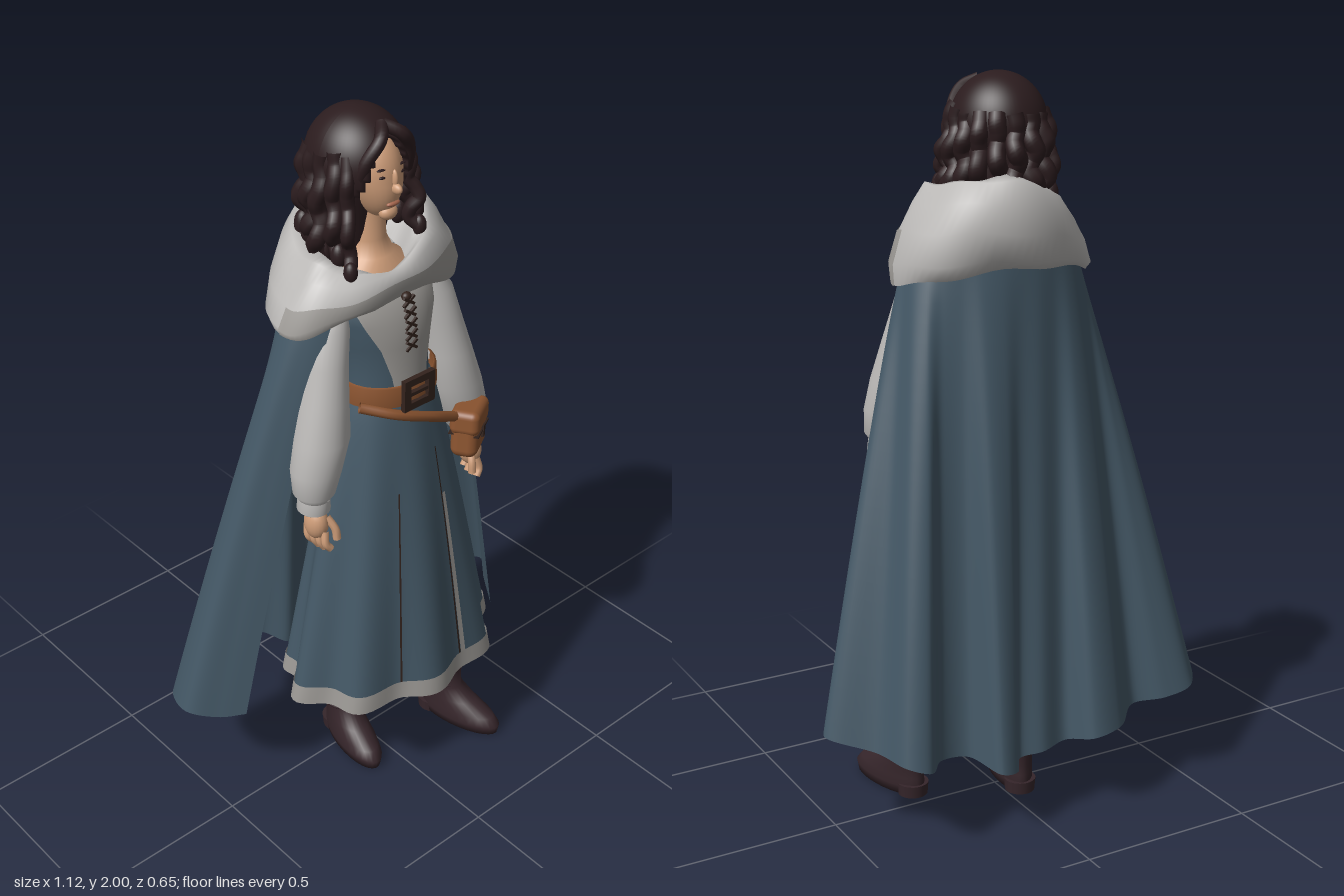
import * as THREE from 'three';
import { RoundedBoxGeometry } from 'three/addons/geometries/RoundedBoxGeometry.js';

const V = (x, y, z) => new THREE.Vector3(x, y, z);
const material = (name, color, side = THREE.FrontSide) => {
  const m = new THREE.MeshStandardMaterial({ color, side });
  m.name = name;
  return m;
};

// Smooth surface through a grid of points: point(i / cols, j / rows)
function surface(cols, rows, closed, point) {
  const pos = [], index = [], n = closed ? cols : cols + 1;
  for (let j = 0; j <= rows; j++)
    for (let i = 0; i < n; i++) pos.push(...point(i / cols, j / rows, j).toArray());
  for (let j = 0; j < rows; j++)
    for (let i = 0; i < cols; i++) {
      const a = j * n + i, b = j * n + (i + 1) % n;
      index.push(a, b, b + n, a, b + n, a + n);
    }
  const g = new THREE.BufferGeometry();
  g.setAttribute('position', new THREE.Float32BufferAttribute(pos, 3));
  g.setIndex(index);
  g.computeVertexNormals();
  return g;
}

// Stack of elliptical rings, bottom to top: [y, cx, cz, rx, rz, halfAngle?]
function rings(rows, cols = 28) {
  const closed = rows[0][5] === undefined;
  return surface(cols, rows.length - 1, closed, (u, v, j) => {
    const [y, cx, cz, rx, rz, half = Math.PI] = rows[j];
    const a = (u * 2 - 1) * half;
    return V(cx + rx * Math.sin(a), y, cz + rz * Math.cos(a));
  });
}

export function createModel() {
  const model = new THREE.Group();
  model.name = 'cloakedTraveller';
  const D = THREE.DoubleSide;
  const hair = material('hair', 0x2b1c1e);
  const skin = material('skin', 0xcd9c78);
  const blue = material('blueCloth', 0x445866, D);
  const cloth = material('paleCloth', 0xb9b7b5, D);
  const lace = material('lace', 0x9c9995, D);
  const leather = material('leather', 0x8b5430, D);
  const darkLeather = material('darkLeather', 0x33231d, D);
  const bootLeather = material('bootLeather', 0x35252a, D);
  const stocking = material('stocking', 0xa87453);
  const lip = material('lip', 0xa8684f);

  const add = (name, geometry, mat, parent = model) => {
    const m = new THREE.Mesh(geometry, mat);
    m.name = name;
    parent.add(m);
    return m;
  };
  const ball = (name, mat, p, s, parent = model) => {
    const m = add(name, new THREE.SphereGeometry(1, 20, 14), mat, parent);
    m.position.set(...p);
    m.scale.set(...s);
    return m;
  };
  const tube = (name, points, r, mat, parent = model) =>
    add(name, new THREE.TubeGeometry(new THREE.CatmullRomCurve3(points), points.length * 5, r, 8), mat, parent);

  // Bodice, front panel and upper chest
  const torso = [[1.27, .015, .075, .122, .1], [1.34, .015, .07, .118, .1], [1.42, .015, .06, .132, .105],
    [1.49, .012, .05, .15, .112], [1.55, .01, .035, .16, .1], [1.585, .01, .025, .13, .07]];
  add('bodice', rings(torso), blue);
  const halfAngles = [.4, .5, .65, .85, .95, 1];
  add('blousePanel', rings(torso.map(([y, x, z, rx, rz], i) => [y, x, z, rx + .006, rz + .006, halfAngles[i]])), lace);
  add('upperChest', rings([[1.56, .01, .03, .14, .085], [1.6, .01, .03, .11, .075], [1.63, .01, .02, .06, .055],
    [1.67, .01, .01, .045, .045], [1.78, .01, .005, .045, .045]]), skin);
  for (let i = 0; i < 5; i++)
    for (const s of [-1, 1]) {
      const m = add('lacing', new THREE.BoxGeometry(.042, .007, .008), darkLeather);
      m.position.set(.012, 1.42 + i * .03, .172 - i * i * .0008);
      m.rotation.z = s * .6;
    }
  ball('laceKnot', darkLeather, [.012, 1.55, .15], [.014, .012, .012]);

  // Skirt with folds; k runs from waist (0) to hem (1)
  const skirtPoint = (a, k, out = 0) => {
    const w = Math.pow(k, .85), f = 1 + .065 * k * Math.cos(9 * a + .9) + .02 * k * Math.sin(4 * a);
    const x = (.125 + .205 * w + out) * f * Math.sin(a), z = (.105 + .14 * w + out) * f * Math.cos(a);
    return V(.015 + .018 * k + x, 1.29 - .92 * k, .075 - .015 * k + (z < 0 ? z * .75 : z));
  };
  const skirtPart = (name, mat, a0, a1, k0, k1, out, cols, rows) =>
    add(name, surface(cols, rows, a1 - a0 > 6, (u, v) => skirtPoint(a0 + (a1 - a0) * u, k1 + (k0 - k1) * v, out)), mat);
  skirtPart('skirt', blue, -Math.PI, Math.PI, 0, 1, 0, 108, 24);
  skirtPart('hemTrim', lace, -Math.PI, Math.PI, .953, 1.012, .004, 108, 2);
  skirtPart('petticoatSlit', lace, .29, .34, .36, .96, .004, 3, 12);
  skirtPart('skirtSeam', darkLeather, .265, .285, .2, .96, .004, 2, 12);
  skirtPart('skirtSeam', darkLeather, -.43, -.41, .3, .96, .004, 2, 12);

  // Belt, buckle, strap and pouch
  add('belt', rings([[1.262, .015, .078, .134, .113], [1.264, .015, .078, .14, .119],
    [1.318, .015, .076, .138, .117], [1.32, .015, .076, .13, .11]]), leather);
  const frame = new THREE.Shape([[-.052, -.045], [.052, -.045], [.052, .045], [-.052, .045]].map(p => new THREE.Vector2(...p)));
  frame.holes.push(new THREE.Path([[-.03, -.025], [-.03, .025], [.03, .025], [.03, -.025]].map(p => new THREE.Vector2(...p))));
  add('buckle', new THREE.ExtrudeGeometry(frame, { depth: .014, bevelEnabled: false }), darkLeather).position.set(.013, 1.298, .192);
  add('buckleTongue', new THREE.BoxGeometry(.06, .01, .012), darkLeather).position.set(.013, 1.298, .199);
  tube('pouchStrap', [V(-.125, 1.27, .13), V(-.05, 1.245, .187), V(.05, 1.205, .205), V(.13, 1.165, .195), V(.2, 1.13, .18)], .014, leather);
  const pouch = new THREE.Group();
  pouch.name = 'pouch';
  add('pouchBody', new RoundedBoxGeometry(.125, .135, .075, 4, .025), leather, pouch);
  add('pouchFlap', new RoundedBoxGeometry(.132, .07, .082, 4, .02), leather, pouch).position.y = .038;
  add('pouchSeam', new THREE.BoxGeometry(.115, .005, .083), darkLeather, pouch).position.y = .003;
  add('pouchClasp', new THREE.BoxGeometry(.018, .035, .088), darkLeather, pouch).position.y = -.002;
  pouch.position.set(.215, 1.09, .185);
  pouch.rotation.set(0, .55, -.08);
  model.add(pouch);

  // Arms: s = 1 is the left
  for (const s of [1, -1]) {
    const arm = new THREE.Group();
    arm.name = s > 0 ? 'leftArm' : 'rightArm';
    const o = s > 0 ? .022 : 0, zf = s > 0 ? .02 : 0;
    const at = (y, x, z, rx, rz) => [y, s * x + o, z + zf, rx, rz];
    add('sleeve', rings([at(1.03, .252, .095, .036, .04), at(1.055, .25, .095, .056, .056), at(1.12, .237, .09, .07, .066),
      at(1.2, .213, .085, .076, .07), at(1.3, .195, .07, .066, .068), at(1.4, .175, .055, .058, .065),
      at(1.49, .155, .04, .055, .065), at(1.55, .13, .035, .035, .045)]), cloth, arm);
    add('cuff', rings([at(1, .255, .098, .038, .04), at(1.005, .255, .098, .043, .046), at(1.038, .252, .096, .042, .045)]), cloth, arm);
    ball('palm', skin, [s * .257 + o, .965, .11 + zf], [.03, .048, .036], arm);
    for (let i = 0; i < 4; i++) {
      const x = s * (.262 - i * .003) + o, z = .08 + i * .02 + zf;
      tube('finger', [V(x, .95, z), V(x + s * .005, .915, z + .008), V(x - s * .008, .888 + Math.abs(i - 1.5) * .006, z + .012)], .0105, skin, arm);
    }
    tube('thumb', [V(s * .24 + o, .985, .13 + zf), V(s * .227 + o, .95, .15 + zf), V(s * .225 + o, .92, .155 + zf)], .011, skin, arm);
    model.add(arm);
  }

  // Legs and boots
  for (const [side, x, z, turn] of [['left', .235, .09, .22], ['right', -.05, -.04, -.2]]) {
    add(side + 'Leg', rings([[.2, x, z, .045, .048], [.28, x - .006, z, .05, .054], [.4, x - .02, z - .01, .06, .062],
      [.6, x * .8, z - .02, .07, .07]]), stocking);
    const boot = new THREE.Group();
    boot.name = side + 'Boot';
    add('bootUpper', rings([[.004, 0, .07, .001, .001], [.004, 0, .075, .05, .133], [.03, 0, .075, .055, .138],
      [.055, 0, .065, .052, .125], [.085, 0, .035, .048, .092], [.12, 0, .006, .045, .066], [.18, 0, 0, .052, .064],
      [.235, 0, 0, .061, .07], [.25, 0, 0, .06, .069], [.25, 0, 0, .048, .05]]), bootLeather, boot);
    add('heel', new THREE.CylinderGeometry(.045, .042, .035, 20), bootLeather, boot).position.set(0, .0175, -.025);
    for (const y of [.13, .19]) {
      const band = add('bootStrap', new THREE.TorusGeometry(y * .1 + .036, .006, 6, 28), bootLeather, boot);
      band.rotation.x = Math.PI / 2;
      band.scale.y = 1.22;
      band.position.y = y;
    }
    boot.position.set(x, 0, z);
    boot.rotation.y = turn;
    model.add(boot);
  }

  // Cape draped from the shoulders to a wavy hem
  const hem = new THREE.CatmullRomCurve3([[-.44, .33, .01], [-.5, .32, -.04], [-.56, .33, -.11], [-.5, .29, -.25], [-.41, .27, -.25],
    [-.33, .255, -.21], [-.22, .25, -.31], [-.13, .24, -.32], [-.08, .22, -.25], [0, .21, -.265], [.065, .2, -.25],
    [.1, .19, -.3], [.155, .2, -.31], [.2, .22, -.21], [.28, .23, -.21], [.36, .25, -.3], [.42, .27, -.28],
    [.455, .28, -.18], [.56, .31, -.08], [.5, .31, .0], [.43, .31, .1]].map(p => V(...p)));
  add('cape', surface(150, 26, false, (u, v) => {
    const k = 1 - v, phi = (u * 2 - 1) * 2.27, h = hem.getPoint(u), f = Math.pow(k, .88);
    const top = V(.01 + .245 * Math.sin(phi), 1.56 - .03 * Math.abs(Math.sin(phi)), -.15 * Math.cos(phi));
    return V(top.x + (h.x - top.x) * f, top.y + (h.y - top.y) * k, top.z + (h.z - top.z) * f);
  }), blue);

  // Hood lying on the shoulders: [rx, front z, back z, front y, side y, back y]
  const hoodRows = [[.278, .135, -.17, 1.545, 1.475, 1.515], [.282, .145, -.215, 1.57, 1.51, 1.54], [.255, .145, -.228, 1.595, 1.58, 1.61],
    [.215, .135, -.225, 1.62, 1.64, 1.68], [.18, .12, -.2, 1.625, 1.685, 1.735], [.15, .11, -.165, 1.615, 1.69, 1.745],
    [.115, .1, -.12, 1.595, 1.65, 1.7], [.08, .085, -.07, 1.57, 1.6, 1.62]];
  const hoodPart = (rows, half, grow, cols) => surface(cols, rows.length - 1, half > 3, (u, v, j) => {
    const [rx, zf, zb, yf, ys, yb] = rows[j], a = (u * 2 - 1) * half, c = Math.cos(a), x = (rx + grow) * Math.sin(a);
    const y = ys + ((c > 0 ? yf : yb) - ys) * c * c + x * .22 * Math.min(1, j / 4);
    const wrinkle = .005 * Math.sin(7 * a + j * 1.3);
    return V(.015 + x, y + wrinkle, (c > 0 ? zf + grow : -zb + grow) * c);
  });
  add('hood', hoodPart(hoodRows, Math.PI, 0, 64), cloth);
  add('hoodLaceBorder', hoodPart(hoodRows.slice(0, 3), 1.6, .004, 40), lace);

  // Head and face
  const head = new THREE.SphereGeometry(1, 32, 24), hp = head.attributes.position;
  for (let i = 0; i < hp.count; i++) {
    const y = hp.getY(i), low = Math.max(0, -y);
    hp.setXYZ(i, .012 + hp.getX(i) * .072 * (1 - .2 * low), 1.845 + y * .112, .018 + hp.getZ(i) * .086 + low * .018);
  }
  head.computeVertexNormals();
  add('head', head, skin);
  ball('nose', skin, [.012, 1.826, .108], [.011, .014, .02]);
  ball('noseBridge', skin, [.012, 1.848, .1], [.008, .026, .013]);
  ball('mouth', lip, [.012, 1.784, .098], [.021, .007, .009]);
  ball('chin', skin, [.012, 1.755, .08], [.026, .02, .02]);
  for (const s of [-1, 1]) {
    ball('eye', hair, [.012 + s * .029, 1.858, .093], [.012, .004, .005]);
    ball('eyebrow', hair, [.012 + s * .03, 1.877, .09], [.016, .003, .006]);
  }

  // Hair cap, drawn back below the hairline to free the face
  const cap = new THREE.SphereGeometry(1, 64, 48), cp = cap.attributes.position;
  for (let i = 0; i < cp.count; i++) {
    const x = cp.getX(i) * .125, y = 1.865 + cp.getY(i) * .135;
    let z = -.028 + cp.getZ(i) * .135;
    if (z > -.01 && y < 1.945 - 26 * x * x) z = -.01;
    cp.setXYZ(i, x + .005, y, z);
  }
  cap.computeVertexNormals();
  add('hairCap', cap, hair);
  add('backHair', rings([[1.62, 0, -.05, .09, .07], [1.7, 0, -.055, .115, .092], [1.78, 0, -.055, .12, .1], [1.86, 0, -.04, .12, .11]]), hair);

  // Wavy locks around the sides and back
  const lock = (a, y0, y1, r, flare) => {
    const pts = [];
    for (let i = 0; i <= 9; i++) {
      const t = i / 9, w = .011 * t + .003, rad = .108 + flare * t + .012 * Math.sin(t * 3);
      pts.push(V(.005 + rad * Math.sin(a) + w * Math.sin(t * 15 + a * 5), y0 + (y1 - y0) * t,
        -.03 + rad * 1.08 * Math.cos(a) + .03 * t * Math.max(0, Math.cos(a)) + w * Math.cos(t * 15 + a * 3)));
    }
    tube('hairLock', pts, r, hair);
    ball('lockTip', hair, pts[9].toArray(), [r, r * 1.6, r]);
  };
  for (const s of [-1, 1]) {
    const drop = s < 0 ? 1.63 : 1.68;
    lock(s * .95, 1.91, drop, .018, .02);
    lock(s * 1.2, 1.92, drop + .03, .021, .02);
    lock(s * 1.5, 1.91, drop + .01, .023, .018);
    for (let i = 0; i < 4; i++) lock(s * (1.8 + i * .38), 1.9, 1.69, .024, .004);
    // Parted strands framing the forehead
    tube('fringe', [V(.012, 1.975, .055), V(.012 + s * .035, 1.952, .088), V(.012 + s * .068, 1.905, .078), V(.012 + s * .08, 1.84, .055)], .017, hair);
  }
  return model;
}
